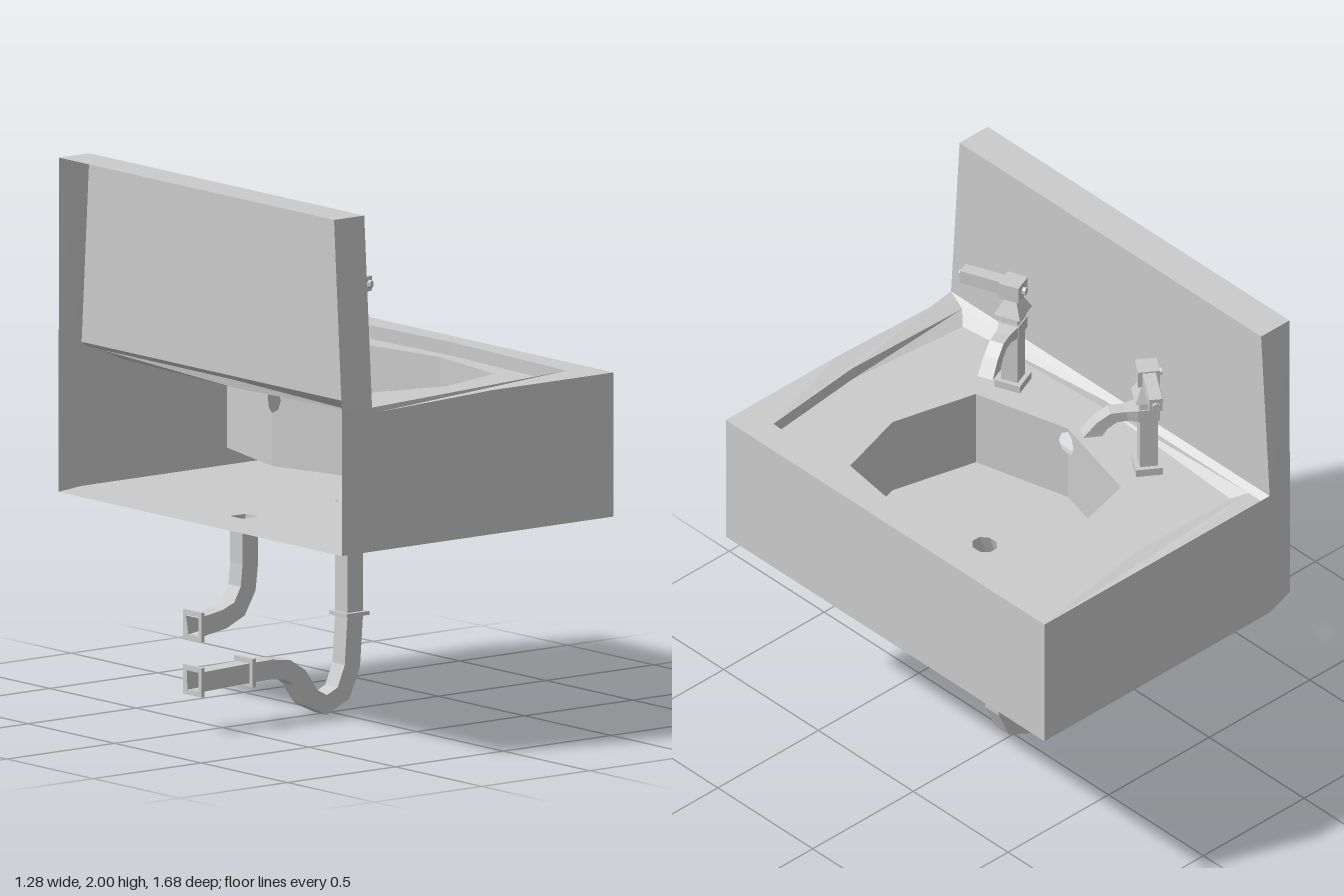
import * as THREE from 'three';

const mat = new THREE.MeshStandardMaterial({ color: 0xcccccc, flatShading: true, side: THREE.DoubleSide });

function add(parent, name, geo, x = 0, y = 0, z = 0) {
  const m = new THREE.Mesh(geo, mat);
  m.name = name;
  m.position.set(x, y, z);
  parent.add(m);
  return m;
}

const box = (w, h, d) => new THREE.BoxGeometry(w, h, d);

// Flat polygons, each a list of [x, y, z] corners, cut into fans
function polys(list) {
  const pos = [];
  for (const p of list)
    for (let i = 1; i < p.length - 1; i++) pos.push(...p[0], ...p[i], ...p[i + 1]);
  const g = new THREE.BufferGeometry();
  g.setAttribute('position', new THREE.Float32BufferAttribute(pos, 3));
  g.computeVertexNormals();
  return g;
}

// Skin between successive rings of corners
function loft(rings, capped = false) {
  const faces = [];
  for (let i = 0; i < rings.length - 1; i++) {
    const a = rings[i], b = rings[i + 1];
    a.forEach((p, j) => {
      const k = (j + 1) % a.length;
      faces.push([p, a[k], b[k], b[j]]);
    });
  }
  if (capped) faces.push([...rings[0]].reverse(), rings[rings.length - 1]);
  return polys(faces);
}

// Horizontal sheet from [x, z] outlines, heights given by a rule
function sheet(outline, holes, heightAt) {
  const v = (l) => l.map(([x, z]) => new THREE.Vector2(x, -z));
  const s = new THREE.Shape(v(outline));
  for (const h of holes) s.holes.push(new THREE.Path(v(h)));
  const g = new THREE.ShapeGeometry(s).rotateX(-Math.PI / 2);
  const p = g.attributes.position;
  for (let i = 0; i < p.count; i++) p.setY(i, heightAt(p.getX(i)));
  g.computeVertexNormals();
  return g;
}

// Square pipe swept along a path of [x, y] points
function pipe(path, half = 0.036) {
  return loft(path.map(([x, y], i) => {
    const a = path[Math.max(i - 1, 0)], b = path[Math.min(i + 1, path.length - 1)];
    const l = Math.hypot(b[0] - a[0], b[1] - a[1]);
    const nx = -(b[1] - a[1]) / l * half, ny = (b[0] - a[0]) / l * half;
    return [[x + nx, y + ny, half], [x - nx, y - ny, half], [x - nx, y - ny, -half], [x + nx, y + ny, -half]];
  }));
}

const square = (x, h) => [[x - h, -h], [x + h, -h], [x + h, h], [x - h, h]];

function makeBasin() {
  const g = new THREE.Group();
  g.name = 'basin';
  const B = 0.77, T = 1.3, BK = -0.62, SF = -0.48, FR = 0.64, W = 0.84, FLOOR = 1.25, BOWL = 0.94;
  const rimY = (x) => x < -0.47 ? T : T - 0.02 * Math.min(1, Math.max(0, (0.08 - x) / 0.535));

  // Outer walls
  const side = (z) => [[SF, B, z], [FR, B, z], [FR, T, z], [0.08, T, z], [-0.455, 1.28, z], [SF, T, z]];
  add(g, 'outerWalls', polys([side(W), side(-W).reverse(),
    [[FR, B, W], [FR, B, -W], [FR, T, -W], [FR, T, W]]]));

  // Backsplash, open at the back
  const H = 2, N = 0.795;
  add(g, 'backsplash', polys([
    [[SF, T, W], [SF, T, -W], [SF, H, -N], [SF, H, N]],
    [[BK, H, N], [SF, H, N], [SF, H, -N], [BK, H, -N]],
    [[BK, B, W], [SF, B, W], [SF, T, W], [BK, T, W]],
    [[BK, T, W], [SF, T, W], [SF, H, N], [BK, H, N]],
    [[BK, H, -N], [SF, H, -N], [SF, T, -W], [BK, B, -0.8]],
    [[BK, B, -0.8], [SF, T, -W], [SF, B, -W]],
  ]));

  // Underside with pipe openings
  add(g, 'underside', sheet([[BK, W], [FR, W], [FR, -W], [SF, -W], [BK, -0.8]],
    [square(-0.4, 0.036), square(0.087, 0.036)], () => B));

  // Rim and shallow recess
  const front = [[0.1, -0.75], [0.53, -0.71], [0.56, 0], [0.53, 0.705], [0.1, 0.75]];
  const upper = [...front, [-0.455, 0.755], [-0.455, 0], [-0.455, -0.755]];
  const lower = [...front, [-0.41, 0.705], [-0.45, 0], [-0.41, -0.705]];
  const edge = [SF, -0.455, 0.08, FR];
  add(g, 'rim', sheet([...edge.map((x) => [x, W]), ...edge.map((x) => [x, -W]).reverse()], [upper], rimY));
  add(g, 'recessWall', loft([
    lower.map(([x, z]) => [x, FLOOR, z]), upper.map(([x, z]) => [x, rimY(x), z])]));

  // Bowl
  const bowl = [[-0.27, 0], [-0.17, -0.385], [0.165, -0.468], [0.455, -0.385],
    [0.51, 0], [0.455, 0.38], [0.165, 0.465], [-0.17, 0.38]];
  add(g, 'deck', sheet(lower, [bowl], () => FLOOR));
  const plain = [];
  for (let i = 1; i < 7; i++) {
    const [a, b] = [bowl[i], bowl[i + 1]];
    plain.push([[a[0], BOWL, a[1]], [b[0], BOWL, b[1]], [b[0], FLOOR, b[1]], [a[0], FLOOR, a[1]]]);
  }
  add(g, 'bowlWall', polys(plain));

  // Two rear bowl panels sharing the overflow hole
  for (const end of [bowl[1], bowl[7]]) {
    const s = new THREE.Shape([[0, BOWL], [1, BOWL], [1, FLOOR], [0, FLOOR], [0, 1.235], [0.07, 1.22],
      [0.1, 1.185], [0.07, 1.15], [0, 1.135]].map((p) => new THREE.Vector2(...p)));
    const geo = new THREE.ShapeGeometry(s), p = geo.attributes.position;
    for (let i = 0; i < p.count; i++) {
      const u = p.getX(i);
      p.setXYZ(i, THREE.MathUtils.lerp(bowl[0][0], end[0], u), p.getY(i), end[1] * u);
    }
    geo.computeVertexNormals();
    add(g, 'overflowPanel', geo);
  }

  // Bowl floor and drain
  const drain = [...Array(8)].map((_, i) => {
    const a = (i + 0.5) * Math.PI / 4;
    return [0.145 + 0.045 * Math.cos(a), 0.05 * Math.sin(a)];
  });
  add(g, 'bowlFloor', sheet(bowl, [drain], () => BOWL));
  add(g, 'drain', loft([
    drain.map(([x, z]) => [x, BOWL, z]), drain.map(([x, z]) => [x - 0.058, B, z * 0.75])]));
  return g;
}

function makePipes() {
  const g = new THREE.Group();
  g.name = 'pipes';
  add(g, 'drainTrap', pipe([[0.087, 0.77], [0.087, 0.36], [0.073, 0.17], [0.032, 0.075], [-0.045, 0.04],
    [-0.115, 0.075], [-0.17, 0.155], [-0.225, 0.19], [-0.3, 0.2], [-0.4, 0.198], [-0.635, 0.19]]));
  add(g, 'supplyPipe', pipe([[-0.4, 0.77], [-0.4, 0.6], [-0.41, 0.51], [-0.45, 0.44], [-0.52, 0.41], [-0.635, 0.392]]));
  add(g, 'trapCollar', box(0.105, 0.014, 0.105), 0.087, 0.36);
  add(g, 'wasteCollar', box(0.018, 0.105, 0.105), -0.395, 0.2);
  // Open square wall flanges
  for (const y of [0.192, 0.395]) {
    const ring = (x, h) => square(0, h).map(([a, b]) => [x, y + a, b]);
    add(g, 'wallFlange', loft([ring(-0.64, 0.036), ring(-0.64, 0.054), ring(-0.626, 0.054), ring(-0.626, 0.036)]));
  }
  return g;
}

// Tap with spout along local +x and lever along local z
function makeTap(name, x, z, yaw, hand) {
  const g = new THREE.Group();
  g.name = name;
  g.position.set(x, 0, z);
  g.rotation.y = yaw;
  const frustum = (top, bottom, h) =>
    new THREE.CylinderGeometry(top * Math.SQRT2, bottom * Math.SQRT2, h, 4).rotateY(Math.PI / 4);
  add(g, 'tapBase', box(0.1, 0.03, 0.1), 0, 1.265);
  add(g, 'tapPost', box(0.066, 0.26, 0.066), 0, 1.38);
  add(g, 'tapBody', box(0.08, 0.05, 0.08), 0, 1.515);
  add(g, 'tapNeck', frustum(0.03, 0.036, 0.05), 0, 1.56);
  add(g, 'tapCone', frustum(0.025, 0.052, 0.06), 0, 1.608);
  add(g, 'tapStem', box(0.046, 0.03, 0.046), 0, 1.645);
  add(g, 'tapHead', box(0.08, 0.066, 0.08), 0, 1.682);
  // Spout sections: top x, y, bottom x, y, half width
  const rows = [[0.03, 1.54, 0.03, 1.49, 0.04], [0.085, 1.532, 0.075, 1.492, 0.027], [0.14, 1.53, 0.115, 1.49, 0.027],
    [0.19, 1.495, 0.15, 1.465, 0.028], [0.24, 1.435, 0.17, 1.435, 0.03]];
  add(g, 'spout', loft(rows.map(([tx, ty, bx, by, w]) =>
    [[tx, ty, w], [bx, by, w], [bx, by, -w], [tx, ty, -w]]), true));
  add(g, 'lever', box(0.048, 0.054, 0.17), 0, 1.682, hand * 0.115);
  const nub = () => new THREE.CylinderGeometry(0.014, 0.016, 0.016, 6).rotateX(Math.PI / 2);
  add(g, 'leverNub', nub(), 0, 1.682, hand * 0.205);
  add(g, 'headNub', nub(), 0, 1.682, -hand * 0.046);
  add(g, 'sideNub', nub().rotateY(Math.PI / 2), -0.045, 1.682, 0);
  return g;
}

export function createModel() {
  const root = new THREE.Group();
  root.name = 'washbasin';
  root.add(makeBasin(), makePipes(),
    makeTap('rearTap', -0.32, -0.365, -0.6, -1),
    makeTap('frontTap', -0.315, 0.338, 0.38, 1));
  return root;
}
